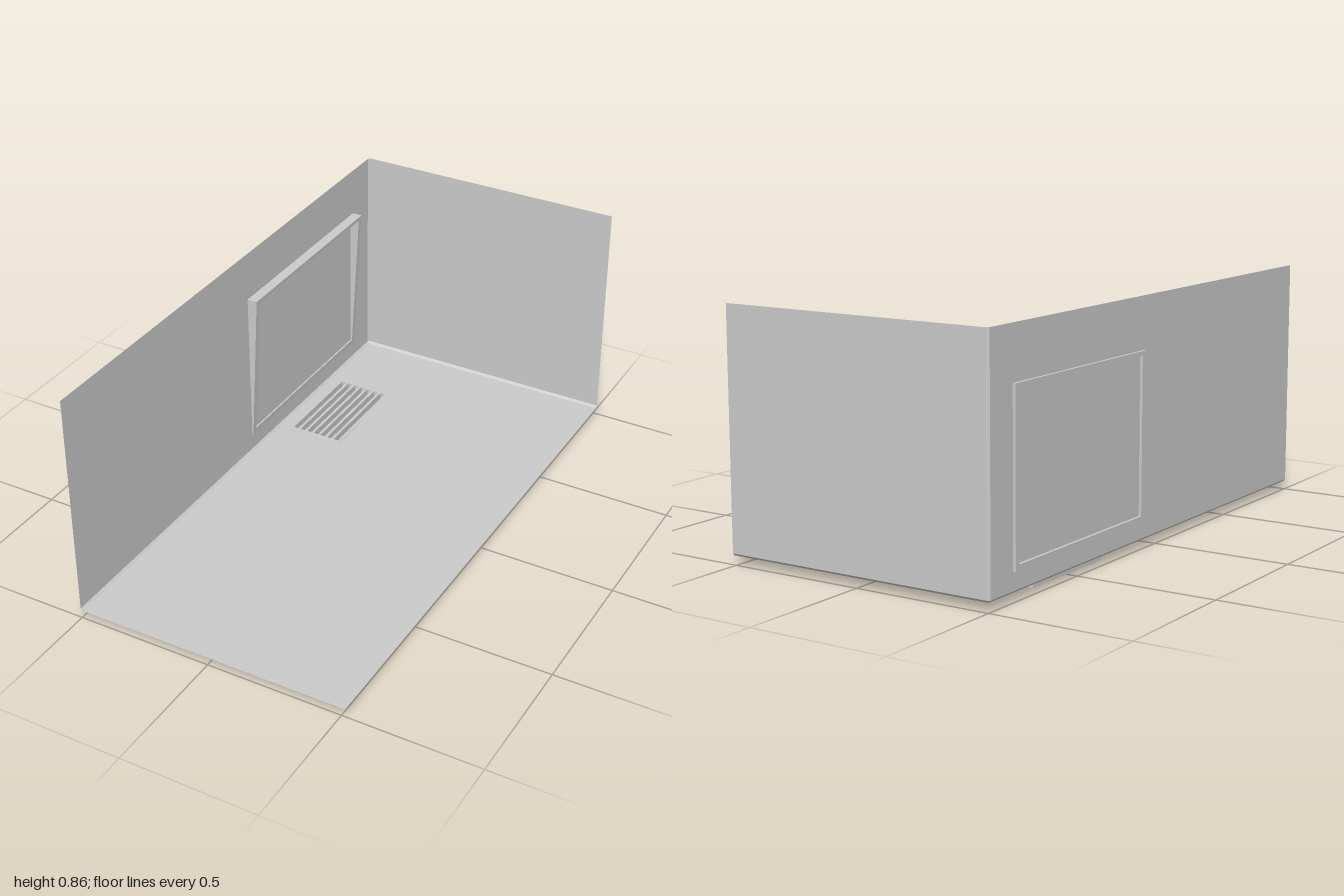
import * as THREE from 'three';

const mat = new THREE.MeshStandardMaterial({ color: 0xcccccc, flatShading: true, side: THREE.DoubleSide });

// Room limits, and the small chamfer where its planes meet
const X0 = -0.503, X1 = 0.513, Y0 = 0.03, Y1 = 0.862, Z0 = -1, Z1 = 1, C = 0.008;

function rect(x0, y0, x1, y1, Type = THREE.Shape) {
  return new Type([[x0, y0], [x1, y0], [x1, y1], [x0, y1]].map(p => new THREE.Vector2(...p)));
}

// Flat convex face from its corners in order
function face(...corners) {
  const g = new THREE.BufferGeometry();
  g.setAttribute('position', new THREE.Float32BufferAttribute(corners.flat(), 3));
  g.setIndex(corners.length === 3 ? [0, 1, 2] : [0, 1, 2, 0, 2, 3]);
  g.computeVertexNormals();
  return g;
}

export function createModel() {
  const group = new THREE.Group();
  const add = (name, geometry) => {
    const mesh = new THREE.Mesh(geometry, mat);
    mesh.name = name;
    group.add(mesh);
  };
  const xi = X0 + C, yi = Y0 + C, zi = Z0 + C;

  // Floor with an opening for the vent (shape y is -z)
  const vent = [-0.46, 0.28, -0.24, 0.695];
  const floor = rect(xi, -Z1, X1, -zi);
  floor.holes.push(rect(...vent, THREE.Path));
  add('floor', new THREE.ShapeGeometry(floor).rotateX(-Math.PI / 2).translate(0, Y0, 0));

  // Walls
  add('sideWall', face([X0, yi, Z1], [X0, yi, zi], [X0, Y1, zi], [X0, Y1, Z1]));
  add('backWall', face([xi, yi, Z0], [X1, yi, Z0], [X1, Y1, Z0], [xi, Y1, Z0]));

  // Chamfers along the seams, and the corner where they meet
  add('wallSeam', face([X0, yi, zi], [xi, yi, Z0], [xi, Y1, Z0], [X0, Y1, zi]));
  add('sideFloorSeam', face([xi, Y0, Z1], [xi, Y0, zi], [X0, yi, zi], [X0, yi, Z1]));
  add('backFloorSeam', face([xi, Y0, zi], [X1, Y0, zi], [X1, yi, Z0], [xi, yi, Z0]));
  add('cornerSeam', face([xi, Y0, zi], [xi, yi, Z0], [X0, yi, zi]));

  // Floor vent: a slab cut by seven slots
  const grille = rect(...vent);
  const pitch = 0.029, slot = 0.018;
  for (let i = 0; i < 7; i++) {
    const x = -0.35 + (i - 3) * pitch;
    grille.holes.push(rect(x - slot / 2, 0.306, x + slot / 2, 0.68, THREE.Path));
  }
  add('floorVent', new THREE.ExtrudeGeometry(grille, { depth: Y0 + 0.001, bevelEnabled: false })
    .rotateX(-Math.PI / 2));

  // Window frame: its inner side leans into the room towards the top
  const frame = rect(0.097, 0.1, 0.872, 0.68);
  frame.holes.push(rect(0.117, 0.12, 0.852, 0.665, THREE.Path));
  const frameGeo = new THREE.ExtrudeGeometry(frame, { depth: 1, bevelEnabled: false }).rotateY(Math.PI / 2);
  const p = frameGeo.attributes.position;
  for (let i = 0; i < p.count; i++) {
    const t = (p.getY(i) - 0.1) / 0.58;
    p.setX(i, p.getX(i) < 0.5 ? -0.513 : THREE.MathUtils.lerp(-0.498, -0.465, t));
  }
  frameGeo.computeVertexNormals();
  add('windowFrame', frameGeo);

  return group;
}
